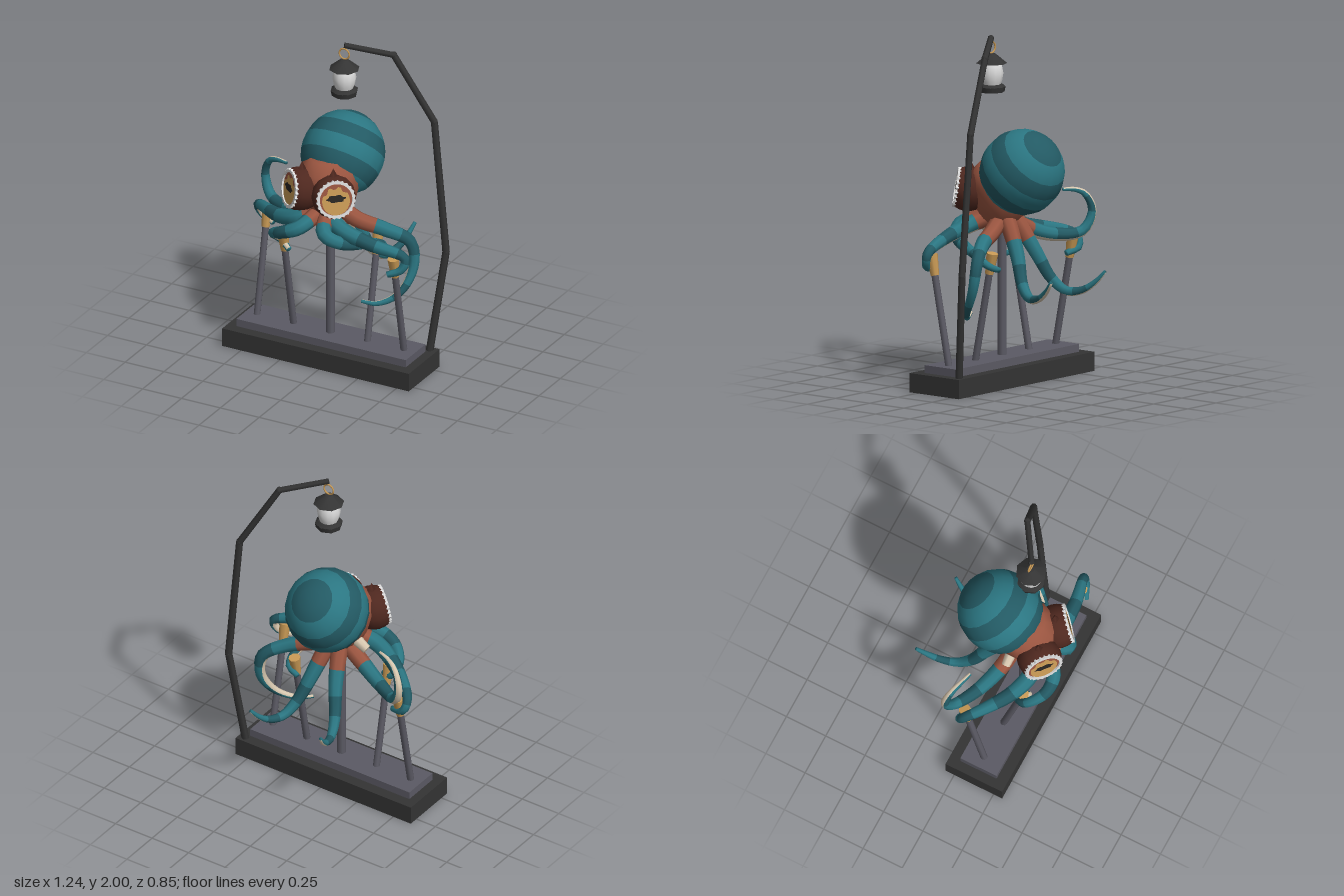
import * as THREE from 'three';

const mat = (name, color) => {
  const m = new THREE.MeshStandardMaterial({ color });
  m.name = name;
  return m;
};
const V = (x, y, z) => new THREE.Vector3(x, y, z);

export function createModel() {
  const teal = mat('teal skin', 0x2b7682), dark = mat('dark teal skin', 0x235a64);
  const terra = mat('terracotta skin', 0x9a5540), brown = mat('brown eyelid', 0x4f281f);
  const gold = mat('gold', 0xc99a55), cream = mat('cream underside', 0xd8c8b0);
  const white = mat('pale glass', 0xdcdcdc), charcoal = mat('charcoal iron', 0x343434);
  const slate = mat('slate metal', 0x5b5a64), ink = mat('pupil', 0x2a2622);
  const CX = -0.022;
  const model = new THREE.Group();
  const add = (name, geo, material, x = 0, y = 0, z = 0, parent = model) => {
    const m = new THREE.Mesh(geo, material);
    m.name = name;
    m.position.set(x, y, z);
    parent.add(m);
    return m;
  };
  // Cylinder between two points
  const rod = (name, a, b, r0, r1, material, sides = 8) => {
    const d = b.clone().sub(a);
    const m = add(name, new THREE.CylinderGeometry(r1, r0, d.length(), sides), material);
    m.position.copy(a).add(b).multiplyScalar(0.5);
    m.quaternion.setFromUnitVectors(V(0, 1, 0), d.normalize());
    return m;
  };

  // Base and plate
  add('base', new THREE.BoxGeometry(1.2, 0.11, 0.36), charcoal, -0.02, 0.055, 0.125);
  add('basePlate', new THREE.BoxGeometry(1.09, 0.045, 0.23), slate, -0.02, 0.1325, 0.125);

  // Support poles with gold cuffs
  rod('centrePole', V(CX, 0.15, 0.125), V(CX, 0.95, 0.125), 0.026, 0.026, slate);
  for (const [x, z] of [[-0.495, 0], [-0.26, 0.25], [0.215, 0], [0.45, 0.25]]) {
    const foot = V(x, 0.15, 0.125), top = V(x, 0.78, z);
    const cuff = foot.clone().lerp(top, 0.81);
    rod('supportPole', foot, cuff, 0.02, 0.02, slate);
    rod('poleCuff', cuff, top, 0.024, 0.034, gold);
  }

  // Lamp post: straight mitred bars
  const post = [V(0.535, 0.1, -0.02), V(0.6, 0.71, -0.095), V(0.525, 1.51, -0.095),
    V(0.305, 1.91, -0.02), V(0.07, 1.98, 0.13)];
  for (let i = 0; i < 4; i++) {
    rod('lampPost', post[i], post[i + 1], 0.022 - i * 0.001, 0.021 - i * 0.001, charcoal, 6);
    if (i) add('lampPostJoint', new THREE.SphereGeometry(0.021, 6, 5), charcoal, ...post[i].toArray());
  }

  // Lantern
  const lx = 0.068, lz = 0.128;
  add('lanternRing', new THREE.TorusGeometry(0.032, 0.005, 6, 16), gold, lx, 1.925, lz);
  const lathe = (pts, n) => new THREE.LatheGeometry(pts.map(p => new THREE.Vector2(...p)), n);
  add('lanternCap', new THREE.CylinderGeometry(0.022, 0.088, 0.055, 8), charcoal, lx, 1.862, lz);
  add('lanternGlass', lathe([[0.045, 1.7], [0.06, 1.735], [0.068, 1.78], [0.06, 1.82], [0.045, 1.85]], 12), white, lx, 0, lz);
  add('lanternFoot', new THREE.CylinderGeometry(0.062, 0.08, 0.015, 8), charcoal, lx, 1.708, lz);
  add('lanternBase', new THREE.CylinderGeometry(0.08, 0.074, 0.03, 8), charcoal, lx, 1.687, lz);

  // Mantle: striped rings around an axis that tips backwards
  const mantle = new THREE.Group();
  mantle.name = 'mantle';
  mantle.position.set(CX, 1.215, -0.02);
  mantle.rotation.x = -Math.PI / 4;
  mantle.scale.set(0.237, 0.25, 0.243);
  model.add(mantle);
  const edges = [0, 32, 58, 80, 102, 124, 180];
  for (let i = 0; i < 6; i++) {
    const a = THREE.MathUtils.degToRad(edges[i]), b = THREE.MathUtils.degToRad(edges[i + 1]);
    add('mantleStripe', new THREE.SphereGeometry(1, 18, 2, 0, Math.PI * 2, a, b - a),
      i % 2 ? teal : dark, 0, 0, 0, mantle);
  }

  // Head
  const head = add('head', lathe([[0, 0.87], [0.05, 0.88], [0.11, 0.94], [0.15, 1.02], [0.175, 1.12],
    [0.165, 1.2], [0.11, 1.26], [0, 1.28]], 14), terra, CX, 0, 0.13);
  head.scale.z = 1.1;

  // Siphon
  const siphon = rod('siphon', V(-0.1, 1.0, 0.11), V(-0.205, 0.94, 0.11), 0.04, 0.028, cream);
  siphon.scale.z = 0.9;

  // Eyes
  const ringShape = (n, fn) => {
    const pts = [];
    for (let i = 0; i < n; i++) {
      const t = (i / n) * Math.PI * 2;
      pts.push(new THREE.Vector2(...fn(t, i)));
    }
    return pts;
  };
  for (const s of [-1, 1]) {
    const eye = new THREE.Group();
    eye.name = s < 0 ? 'rightEye' : 'leftEye';
    eye.position.set(CX + s * 0.108, 1.1, 0.285);
    eye.rotation.order = 'YXZ';
    eye.rotation.set(-0.16, s * 0.7, 0);
    model.add(eye);
    const open = 1.07;
    add('eyeSocket', new THREE.SphereGeometry(0.127, 14, 8, 0, Math.PI * 2, open, Math.PI - open)
      .rotateX(Math.PI / 2), brown, 0, 0, 0, eye);
    const horn = add('browHorn', new THREE.ConeGeometry(0.04, 0.075, 4), brown, 0, 0.132, 0.01, eye);
    horn.rotation.x = 0.15;
    const lash = new THREE.Shape(ringShape(48, (t, i) => {
      const r = i % 2 ? 0.114 : 0.106;
      return [Math.cos(t) * r, Math.sin(t) * r];
    }));
    lash.holes.push(new THREE.Path(ringShape(24, t => [Math.cos(t) * 0.094, Math.sin(t) * 0.094])));
    add('eyeRim', new THREE.ExtrudeGeometry(lash, { depth: 0.018, bevelEnabled: false }), white, 0, 0, 0.055, eye);
    add('eyeLid', new THREE.CircleGeometry(0.098, 24), terra, 0, 0, 0.062, eye);
    // Iris with a stepped upper edge
    const iris = new THREE.Shape(ringShape(32, (t, i) => {
      const up = Math.sin(t) > 0.25;
      const r = up && i % 4 < 2 ? 0.066 : 0.08;
      return [Math.cos(t) * r, Math.sin(t) * r * 1.05 - 0.008];
    }));
    add('iris', new THREE.ShapeGeometry(iris), gold, 0, 0, 0.067, eye);
    const pupil = new THREE.Shape(ringShape(24, (t, i) => {
      const k = i % 4 < 2 ? 1 : 0.82;
      return [Math.cos(t) * 0.058 * k, Math.sin(t) * 0.024 * k];
    }));
    add('pupil', new THREE.ShapeGeometry(pupil), ink, 0, 0.006, 0.071, eye);
  }

  // Tapered arm: terracotta sleeve, dark bands, cream strip carried along the underside
  const skins = [teal, dark, terra, cream];
  const arm = (name, path, sleeve, r0 = 0.05, r1 = 0.01) => {
    const curve = new THREE.CatmullRomCurve3(path.map(p => V(...p)));
    const N = 28, S = 8, pos = [], idx = [[], [], [], []];
    const up = V(0, 1, 0);
    for (let i = 0; i <= N; i++) {
      const u = i / N, p = curve.getPointAt(u), t = curve.getTangentAt(u);
      up.addScaledVector(t, -up.dot(t)).normalize();
      const side = t.clone().cross(up);
      const r = r0 + (r1 - r0) * Math.pow(u, 1.4);
      for (let j = 0; j < S; j++) {
        const a = (j / S) * Math.PI * 2;
        const q = p.clone().addScaledVector(up, Math.cos(a) * r).addScaledVector(side, Math.sin(a) * r);
        pos.push(q.x, q.y, q.z);
      }
      if (i === N) break;
      const band = (u > 0.38 && u < 0.52) || (u > 0.68 && u < 0.8);
      for (let j = 0; j < S; j++) {
        const k = (j + 1) % S, a = i * S + j, b = i * S + k, c = a + S, d = b + S;
        const under = j === 3 || j === 4;
        idx[u < sleeve ? 2 : under ? 3 : band ? 1 : 0].push(a, c, b, b, c, d);
      }
    }
    // Closed tip
    for (let j = 1; j < S - 1; j++) idx[0].push(N * S, N * S + j + 1, N * S + j);
    const g = new THREE.BufferGeometry();
    g.setAttribute('position', new THREE.Float32BufferAttribute(pos, 3));
    let start = 0;
    idx.forEach((list, m) => { g.addGroup(start, list.length, m); start += list.length; });
    g.setIndex(idx.flat());
    // Keep faces pointing outwards
    const e = V(pos[0], pos[1], pos[2]).sub(curve.getPointAt(0));
    g.computeVertexNormals();
    if (V().fromBufferAttribute(g.attributes.normal, 0).dot(e) < 0) {
      const ix = g.index.array;
      for (let i = 0; i < ix.length; i += 3) [ix[i], ix[i + 1]] = [ix[i + 1], ix[i]];
      g.computeVertexNormals();
    }
    add(name, g, skins);
  };
  // Arms that grip the poles
  arm('frontLeftArm', [[0, 0.95, 0.18], [0.1, 0.9, 0.26], [0.32, 0.845, 0.27], [0.515, 0.785, 0.23],
    [0.5, 0.72, 0.25], [0.43, 0.69, 0.285]], 0.12, 0.052, 0.018);
  arm('outerRightArm', [[-0.04, 0.95, 0.18], [-0.15, 0.9, 0.25], [-0.3, 0.855, 0.21], [-0.545, 0.785, 0.02],
    [-0.535, 0.72, -0.01], [-0.45, 0.69, 0.01]], 0.12, 0.052, 0.018);
  arm('innerRightArm', [[-0.04, 0.95, 0.2], [-0.1, 0.89, 0.36], [-0.21, 0.84, 0.37], [-0.3, 0.78, 0.29],
    [-0.28, 0.72, 0.23], [-0.21, 0.69, 0.27]], 0.15, 0.048, 0.016);
  arm('innerLeftArm', [[0, 0.95, 0.2], [0.07, 0.885, 0.36], [0.15, 0.83, 0.31], [0.255, 0.77, 0.1],
    [0.25, 0.71, 0], [0.18, 0.68, -0.02]], 0.15, 0.048, 0.016);
  // Free curling arms
  arm('raisedRightArm', [[-0.05, 0.96, 0.1], [-0.16, 0.88, 0.09], [-0.36, 0.81, 0.02], [-0.51, 0.82, -0.06],
    [-0.56, 0.93, -0.09], [-0.52, 1.03, -0.07], [-0.46, 1.06, -0.045], [-0.385, 1.067, -0.02]], 0.2);
  arm('loweredLeftArm', [[0, 0.96, 0.1], [0.12, 0.88, 0.08], [0.27, 0.83, 0.03], [0.4, 0.75, -0.04],
    [0.425, 0.6, -0.03], [0.38, 0.46, 0.05], [0.28, 0.405, 0.13], [0.2, 0.42, 0.17]], 0.22);
  for (const s of [-1, 1]) {
    const pts = [[0.03, 0.97, 0.08], [0.05, 0.88, 0.02], [0.085, 0.74, -0.06], [0.13, 0.6, -0.13],
      [0.165, 0.535, -0.21], [0.195, 0.545, -0.3], [0.22, 0.6, -0.38], [0.24, 0.66, -0.43]];
    arm(s < 0 ? 'backRightArm' : 'backLeftArm', pts.map(([x, y, z]) => [CX + s * x, y, z]), 0.2);
  }
  return model;
}
